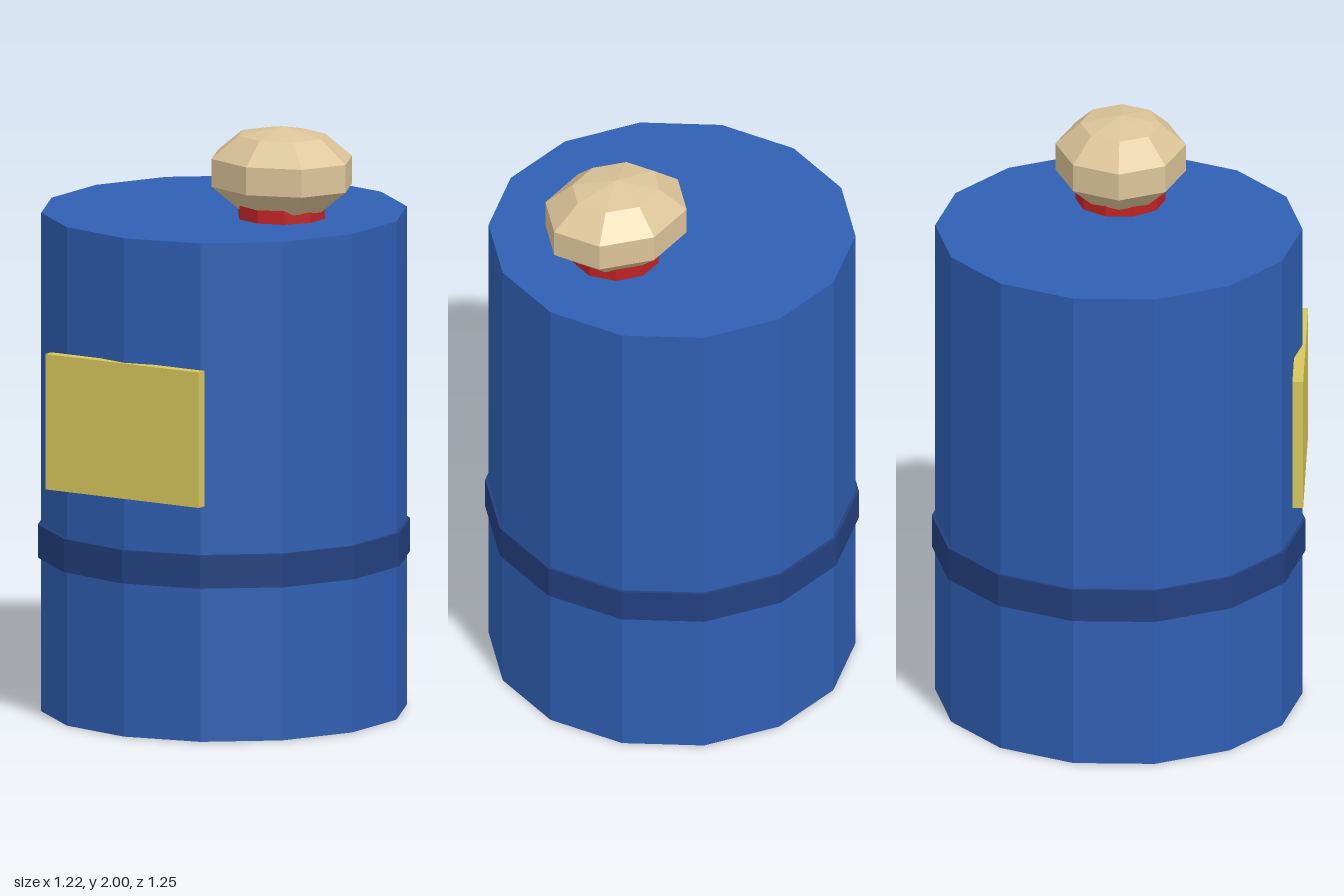
import * as THREE from 'three';

const material = (name, color) => {
  const m = new THREE.MeshStandardMaterial({ color, flatShading: true });
  m.name = name;
  return m;
};

export function createModel() {
  const group = new THREE.Group();
  group.name = 'canister';

  const blue = material('blue', 0x2f5fb3);
  const navy = material('navy', 0x23407f);
  const yellow = material('yellow', 0xd8c75c);
  const red = material('red', 0xbe2222);
  const tan = material('tan', 0xdcc498);

  const add = (name, geometry, mat, x, y, z) => {
    const mesh = new THREE.Mesh(geometry, mat);
    mesh.name = name;
    mesh.position.set(x, y, z);
    group.add(mesh);
    return mesh;
  };
  // Upright prism between two heights
  const prism = (name, mat, radius, sides, y0, y1, x = 0) =>
    add(name, new THREE.CylinderGeometry(radius, radius, y1 - y0, sides), mat, x, (y0 + y1) / 2, 0);

  // Fourteen-sided body with a raised band
  prism('body', blue, 0.613, 14, 0, 1.693);
  prism('band', navy, 0.624, 14, 0.522, 0.635);

  // Front label plate, partly sunk into the body
  add('label', new THREE.BoxGeometry(0.61, 0.46, 0.036), yellow, 0, 1.04, 0.606);

  // Off-centre neck and squashed faceted cap
  prism('neck', red, 0.15, 10, 1.66, 1.745, 0.23);
  const cap = add('cap', new THREE.SphereGeometry(1, 8, 5), tan, 0.23, 1.847, 0);
  cap.scale.set(0.267, 0.153, 0.229);

  return group;
}
